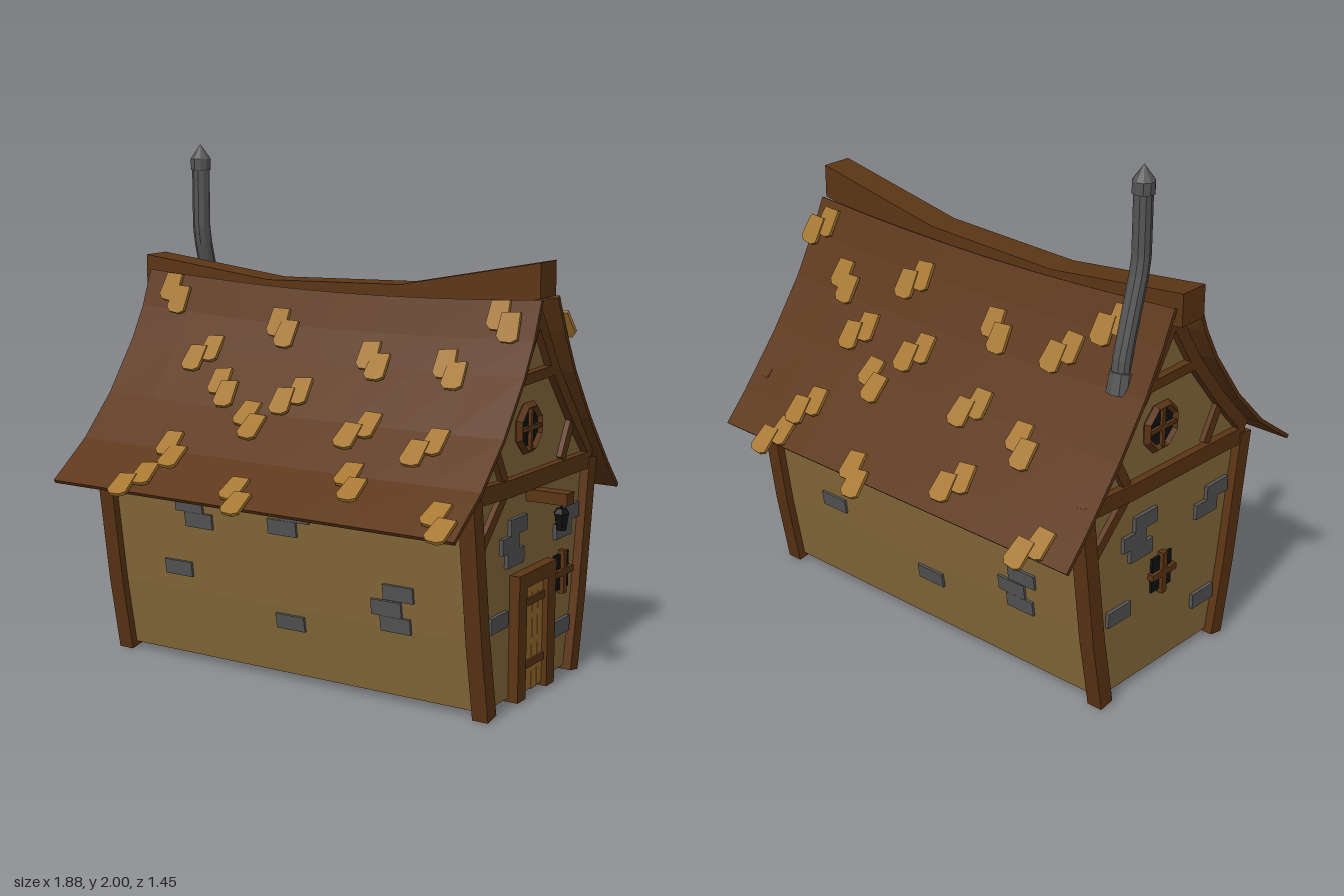
import * as THREE from 'three';

const mat = (color) => new THREE.MeshStandardMaterial({ color, flatShading: true, side: THREE.DoubleSide });
const wood = mat(0x5c3515), plaster = mat(0x876b3a), tileMat = mat(0xa67731), doorMat = mat(0x9a6c2c);
const stone = mat(0x555555), metal = mat(0x555555), black = mat(0x111111);
const MID_X = -0.035, MID_Z = -0.04, HALF = 0.81;

function add(parent, name, geometry, material, x = 0, y = 0, z = 0) {
  const m = new THREE.Mesh(geometry, material);
  m.name = name;
  m.position.set(x, y, z);
  parent.add(m);
  return m;
}
const box = (parent, name, material, w, h, d, x, y, z) =>
  add(parent, name, new THREE.BoxGeometry(w, h, d), material, x, y, z);

// Band of constant width along a polyline with mitred joints, extruded in z
function ribbon(points, width, depth, steps = 1) {
  const p = points.map(([x, y]) => new THREE.Vector2(x, y));
  const left = [], right = [];
  p.forEach((q, i) => {
    const a = p[Math.max(i - 1, 0)], b = p[Math.min(i + 1, p.length - 1)];
    const d1 = q.clone().sub(a).normalize(), d2 = b.clone().sub(q).normalize();
    const t = d1.clone().add(d2).normalize();
    const k = width / 2 / Math.max(0.5, t.dot(i ? d1 : d2));
    const n = new THREE.Vector2(-t.y, t.x).multiplyScalar(k);
    left.push(q.clone().add(n));
    right.unshift(q.clone().sub(n));
  });
  return new THREE.ExtrudeGeometry(new THREE.Shape([...left, ...right]), { depth, steps, bevelEnabled: false });
}

// Position and slope along a profile of [z, y], found by height
function atHeight(profile, y) {
  let i = 0;
  const rising = profile[0][1] < profile[1][1];
  while (i < profile.length - 2 && (rising ? y > profile[i + 1][1] : y < profile[i + 1][1])) i++;
  const [z0, y0] = profile[i], [z1, y1] = profile[i + 1];
  return { z: z0 + (z1 - z0) * (y - y0) / (y1 - y0), dz: z1 - z0, dy: y1 - y0 };
}

// Wall half profile [distance from middle, y] and roof profiles [z, y], ridge to eave
const WALL = [[0.335, 0.025], [0.385, 0.3], [0.46, 0.84]];
const ROOF_FRONT = [[0.025, 1.5], [0.08, 1.36], [0.15, 1.235], [0.3, 1.035], [0.46, 0.875], [0.65, 0.74]];
const ROOF_BACK = [[-0.105, 1.5], [-0.165, 1.37], [-0.255, 1.205], [-0.39, 1.01], [-0.56, 0.8], [-0.66, 0.69]];
const sag = (x, y) => -0.035 * Math.max(0, 1 - (x / 0.9) ** 2) * Math.max(0, (y - 0.74) / 0.76);

// Gable end, facing local +z with its foot at the origin
function gable(isDoorEnd) {
  const g = new THREE.Group();
  g.name = isDoorEnd ? 'doorGable' : 'rearGable';
  const half = [...WALL, [0.3, 1.03], [0.15, 1.2], [0, 1.44]];
  const outline = [...half, ...half.slice(0, -1).reverse().map(([u, y]) => [-u, y])];
  add(g, 'gableWall', new THREE.ShapeGeometry(new THREE.Shape(outline.map(([u, y]) => new THREE.Vector2(u, y)))), plaster);

  const timber = (name, pts, width, z0 = -0.015, depth = 0.045) =>
    add(g, name, ribbon(pts, width, depth), wood, 0, 0, z0);
  for (const s of [-1, 1]) {
    timber('cornerPost', [[s * 0.335, 0.005], [s * 0.39, 0.3], [s * 0.463, 0.83]], 0.064, -0.03, 0.065);
    timber('rafter', [[s * 0.46, 0.85], [s * 0.3, 1.02], [s * 0.15, 1.2], [0, 1.43]], 0.05);
    timber('upperBrace', [[s * 0.23, 0.86], [s * 0.31, 1.0]], 0.04, -0.015, 0.035);
  }
  timber('crossBeam', [[-0.47, 0.845], [-0.2, 0.83], [0.2, 0.825], [0.46, 0.82]], 0.065);
  timber('collarBeam', [[-0.15, 1.21], [0.15, 1.215]], 0.04);
  timber('lowerBrace', [[-0.23, 0.81], [-0.42, 0.625]], 0.04, -0.015, 0.035);

  // Round window
  const round = new THREE.Group();
  round.name = 'roundWindow';
  round.position.set(-0.04, 1.025, 0.01);
  g.add(round);
  add(round, 'frame', new THREE.TorusGeometry(0.085, 0.018, 4, 8), wood).rotation.z = Math.PI / 8;
  add(round, 'pane', new THREE.CircleGeometry(0.085, 8), black, 0, 0, 0.003);
  box(round, 'bar', wood, 0.016, 0.16, 0.015, 0, 0, 0.008);
  box(round, 'bar', wood, 0.16, 0.016, 0.015, 0, 0, 0.008);

  // Square window
  const u = isDoorEnd ? 0.26 : 0;
  box(g, 'windowPane', black, 0.115, 0.14, 0.02, u, 0.415, 0);
  box(g, 'windowBar', wood, 0.027, 0.17, 0.03, u, 0.415, 0.01);
  box(g, 'windowBar', wood, 0.14, 0.025, 0.03, u, 0.415, 0.01);

  // Stones
  for (const [x, y] of [[-0.107, 0.675], [-0.17, 0.615], [-0.13, 0.558], [0.325, 0.635], [0.262, 0.58], [-0.248, 0.34], [0.262, 0.195]])
    box(g, 'stone', stone, 0.128, 0.06, 0.03, x, y, 0);

  if (isDoorEnd) {
    // Door with planks, battens and frame
    for (let i = 0; i < 4; i++) box(g, 'doorPlank', doorMat, 0.042, 0.43 - (i % 2) * 0.01, 0.02, -0.068 + i * 0.045, 0.235, 0.008);
    for (const y of [0.13, 0.37]) box(g, 'doorBatten', wood, 0.18, 0.028, 0.014, 0, y, 0.02);
    add(g, 'doorKnob', new THREE.IcosahedronGeometry(0.01, 0), black, -0.075, 0.22, 0.024);
    for (const s of [-1, 1]) box(g, 'doorPost', wood, 0.064, 0.47, 0.06, s * 0.117, 0.245, 0.01);
    box(g, 'doorLintel', wood, 0.3, 0.055, 0.06, 0, 0.465, 0.012);
    // Lantern on its arm
    box(g, 'lanternArm', wood, 0.06, 0.045, 0.18, 0, 0.77, 0.075);
    add(g, 'lanternHook', new THREE.CylinderGeometry(0.005, 0.005, 0.04, 5), black, 0, 0.74, 0.13);
    add(g, 'lanternCap', new THREE.CylinderGeometry(0.018, 0.032, 0.018, 6), black, 0, 0.722, 0.13);
    add(g, 'lanternBody', new THREE.CylinderGeometry(0.03, 0.02, 0.065, 6), black, 0, 0.682, 0.13);
  }
  return g;
}

// Long wall, facing local +z
function sideWall() {
  const g = new THREE.Group();
  g.name = 'sideWall';
  const geo = ribbon(WALL.map(([z, y]) => [-z, y]), 0.01, 2 * HALF).rotateY(Math.PI / 2);
  add(g, 'wallPanel', geo, plaster, -HALF, 0, 0);
  for (const [x, y] of [[-0.4, 0.72], [-0.46, 0.66], [-0.42, 0.6], [0.03, 0.685], [-0.03, 0.625], [0.64, 0.72],
    [-0.54, 0.39], [-0.03, 0.245], [0.46, 0.44], [0.405, 0.375], [0.44, 0.315]]) {
    const { z, dz, dy } = atHeight(WALL, y);
    box(g, 'stone', stone, 0.128, 0.06, 0.03, x - MID_X, y, z).rotation.x = Math.atan2(dz, dy);
  }
  return g;
}

// Roof slope: curved section with a slightly sagging top
function roofSlope(name, profile) {
  const geo = ribbon(profile.map(([z, y]) => [-z, y]), 0.016, 1.765, 8).rotateY(Math.PI / 2).translate(-0.92, 0, 0);
  const p = geo.attributes.position;
  for (let i = 0; i < p.count; i++) p.setY(i, p.getY(i) + sag(p.getX(i), p.getY(i)));
  geo.computeVertexNormals();
  const m = new THREE.Mesh(geo, wood);
  m.name = name;
  return m;
}

// Pairs of loose shingles lying on a slope
const shingleShape = new THREE.Shape([[-0.036, 0.055], [0.038, 0.058], [0.043, -0.045], [0.02, -0.058], [-0.025, -0.055], [-0.043, -0.035]]
  .map(([x, y]) => new THREE.Vector2(x, y)));
const shingleGeo = new THREE.ExtrudeGeometry(shingleShape, { depth: 0.014, bevelEnabled: false });
function shingles(profile, side, spots) {
  const g = new THREE.Group();
  g.name = 'shingles';
  spots.forEach(([x, y], i) => {
    const flip = i % 3 === 1 ? -1 : 1;
    [[-0.03, 0.022, 0.008], [0.025, -0.022, 0.016]].forEach(([dx, dy, lift], j) => {
      const px = x + dx * flip, py = y + dy;
      const s = atHeight(profile, py);
      const up = new THREE.Vector3(0, -s.dy, -s.dz).normalize();
      const across = new THREE.Vector3(side, 0, 0);
      const out = across.clone().cross(up);
      const m = add(g, 'shingle', shingleGeo, tileMat);
      m.quaternion.setFromRotationMatrix(new THREE.Matrix4().makeBasis(across, up, out));
      m.position.set(px, py + sag(px, py), s.z).addScaledVector(out, lift + 0.004);
      m.rotateX(-0.07);
      m.rotateZ(((i * 7 + j * 5) % 5 - 2) * 0.04);
    });
  });
  return g;
}

function ridgeBeam() {
  const top = [[-0.945, 1.56], [-0.35, 1.495], [0.25, 1.515], [0.835, 1.63]];
  const drop = [0.125, 0.11, 0.11, 0.13];
  const under = top.map(([x, y], i) => [x, y - drop[i]]).reverse();
  const shape = new THREE.Shape([...top, ...under].map(([x, y]) => new THREE.Vector2(x, y)));
  const m = new THREE.Mesh(new THREE.ExtrudeGeometry(shape, { depth: 0.125, bevelEnabled: false }), wood);
  m.name = 'ridgeBeam';
  m.position.z = -0.1;
  return m;
}

function chimney() {
  const g = new THREE.Group();
  g.name = 'chimney';
  g.position.x = -0.79;
  const path = new THREE.CurvePath();
  const pts = [[1.18, -0.24], [1.31, -0.23], [1.37, -0.215], [1.6, -0.152], [1.67, -0.14], [1.92, -0.14]]
    .map(([y, z]) => new THREE.Vector3(0, y, z));
  for (let i = 1; i < pts.length; i++) path.add(new THREE.LineCurve3(pts[i - 1], pts[i]));
  add(g, 'pipe', new THREE.TubeGeometry(path, 40, 0.035, 10), metal);
  add(g, 'baseCollar', new THREE.CylinderGeometry(0.045, 0.05, 0.08, 10), metal, 0, 1.23, -0.235).rotation.x = 0.15;
  add(g, 'topCollar', new THREE.CylinderGeometry(0.042, 0.042, 0.045, 10), metal, 0, 1.92, -0.14);
  add(g, 'cap', new THREE.ConeGeometry(0.042, 0.058, 10), metal, 0, 1.971, -0.14);
  return g;
}

export function createModel() {
  const model = new THREE.Group();
  model.name = 'cottage';
  for (const s of [1, -1]) {
    const end = gable(s === 1);
    end.position.set(MID_X + s * HALF, 0, MID_Z);
    end.rotation.y = s * Math.PI / 2;
    const wall = sideWall();
    wall.position.set(MID_X, 0, MID_Z);
    wall.rotation.y = s === 1 ? 0 : Math.PI;
    model.add(end, wall);
  }
  model.add(roofSlope('frontRoof', ROOF_FRONT), roofSlope('backRoof', ROOF_BACK), ridgeBeam(), chimney());
  model.add(shingles(ROOF_FRONT, 1, [[-0.76, 1.42], [-0.55, 1.21], [-0.39, 1.1], [-0.22, 1.34], [-0.08, 1.1], [-0.21, 1.0],
    [-0.48, 0.87], [-0.56, 0.77], [-0.08, 0.765], [0.22, 1.25], [0.26, 1.01], [0.34, 0.85], [0.55, 1.24], [0.56, 0.98], [0.72, 1.42], [0.76, 0.775]]));
  model.add(shingles(ROOF_BACK, -1, [[-0.74, 0.71], [-0.52, 0.96], [-0.31, 0.79], [-0.23, 1.01], [-0.21, 1.27], [-0.52, 1.27],
    [-0.69, 1.4], [0.12, 0.7], [0.58, 0.71], [0.5, 0.83], [0.25, 0.98], [0.12, 1.11], [0.42, 1.11], [0.58, 1.25], [0.25, 1.34], [0.8, 1.4]]));
  return model;
}
